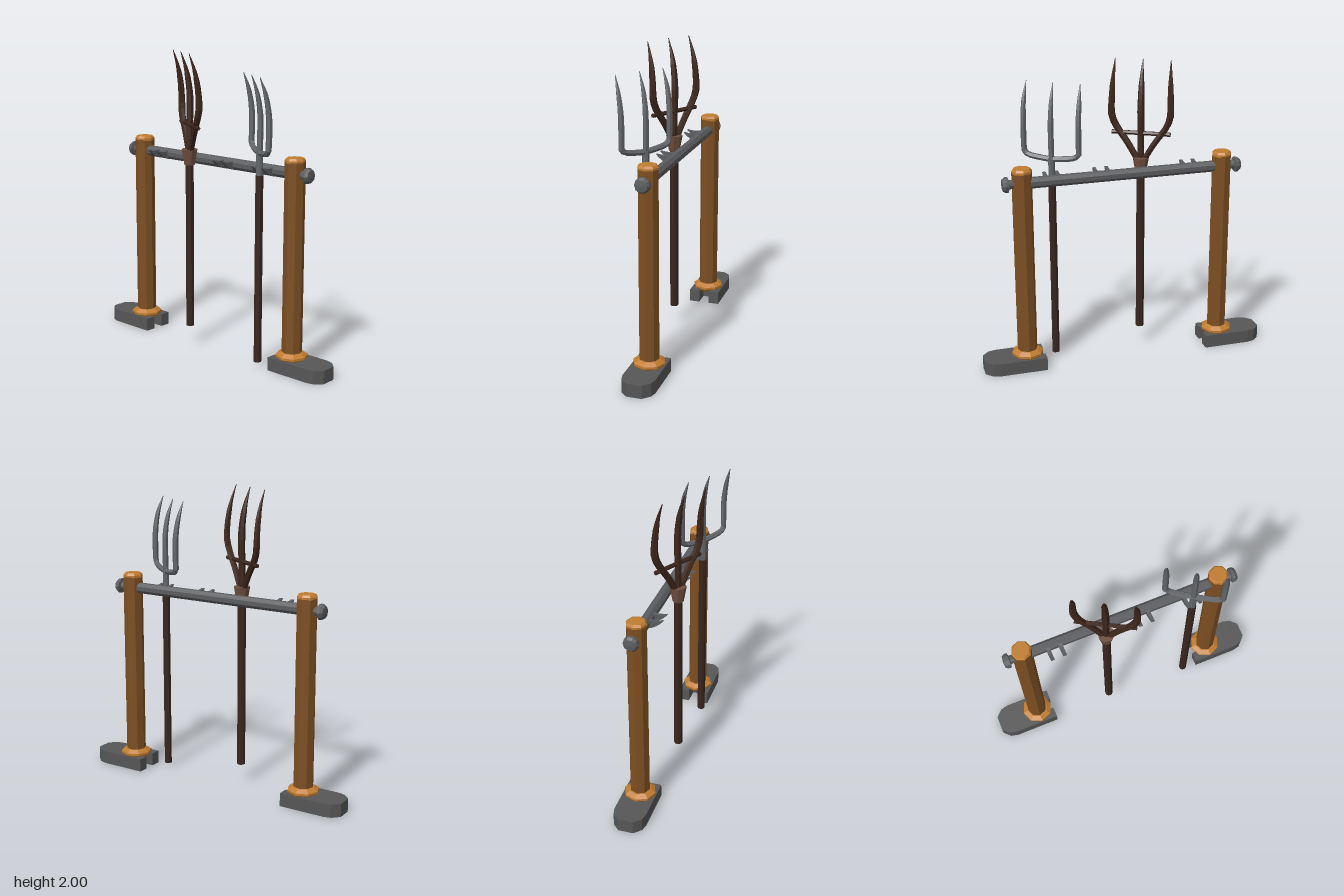
import * as THREE from 'three';

const mat = (name, color) => {
  const m = new THREE.MeshStandardMaterial({ color, flatShading: true });
  m.name = name;
  return m;
};
const V = (x, y, z) => new THREE.Vector3(x, y, z);

export function createModel() {
  const M = {
    wood: mat('post wood', 0x7d4f22),
    trim: mat('light wood trim', 0xc07c30),
    stone: mat('foot grey', 0x565656),
    rail: mat('rail grey', 0x5b5c5f),
    handle: mat('dark handle wood', 0x38261d),
    tine: mat('dark tine wood', 0x3d261b),
    socket: mat('socket brown', 0x6e4f3e),
    steel: mat('fork steel', 0x63666a),
  };
  const root = new THREE.Group();
  root.name = 'pitchforkRack';
  const add = (parent, name, geo, material, x = 0, y = 0, z = 0) => {
    const mesh = new THREE.Mesh(geo, material);
    mesh.name = name;
    mesh.position.set(x, y, z);
    parent.add(mesh);
    return mesh;
  };
  const lathe = (pts, sides) => new THREE.LatheGeometry(pts.map(p => new THREE.Vector2(...p)), sides);
  const rod = (r, y0, y1, sides = 8) =>
    new THREE.CylinderGeometry(r, r, y1 - y0, sides).translate(0, (y0 + y1) / 2, 0);

  // Tube along a curve whose rings shrink to the given radii
  const taperedTube = (points, radii, segs = 14, sides = 6) => {
    const curve = new THREE.CatmullRomCurve3(points);
    const geo = new THREE.TubeGeometry(curve, segs, 1, sides);
    const pos = geo.attributes.position, v = V(0, 0, 0);
    for (let i = 0; i < pos.count; i++) {
      const t = Math.floor(i / (sides + 1)) / segs;
      const c = curve.getPointAt(t);
      const f = t * (radii.length - 1), k = Math.min(Math.floor(f), radii.length - 2);
      const r = THREE.MathUtils.lerp(radii[k], radii[k + 1], f - k);
      v.fromBufferAttribute(pos, i).sub(c).multiplyScalar(r).add(c);
      pos.setXYZ(i, v.x, v.y, v.z);
    }
    geo.computeVertexNormals();
    return geo;
  };

  const zBar = -0.066, yBar = 1.285;

  // Foot: rounded outer end, slot in the inner end (drawn for the +x side)
  const footShape = new THREE.Shape([
    [-0.112, -0.107], [0.2, -0.107], [0.25, -0.095], [0.295, -0.05], [0.295, 0.05],
    [0.25, 0.095], [0.2, 0.107], [-0.112, 0.107], [-0.112, 0.036], [0.0, 0.036],
    [0.0, -0.036], [-0.112, -0.036],
  ].map(p => new THREE.Vector2(...p)));

  for (const side of [-1, 1]) {
    const g = new THREE.Group();
    g.name = side > 0 ? 'leftStand' : 'rightStand';
    g.position.set(side > 0 ? 0.668 : -0.675, 0, zBar);
    if (side < 0) g.rotation.y = Math.PI;
    root.add(g);
    const foot = new THREE.ExtrudeGeometry(footShape, { depth: 0.088, bevelEnabled: false });
    add(g, 'foot', foot.rotateX(-Math.PI / 2), M.stone);
    add(g, 'postCollar', lathe([[0, 0.075], [0.09, 0.075], [0.105, 0.095], [0.105, 0.11], [0.075, 0.13], [0, 0.13]], 8), M.trim);
    add(g, 'post', rod(0.066, 0.08, 1.36), M.wood);
    add(g, 'postCap', lathe([[0, 1.355], [0.066, 1.355], [0.066, 1.372], [0.055, 1.386], [0, 1.386]], 8), M.trim);
    const knob = lathe([[0.027, 0.05], [0.03, 0.085], [0.05, 0.09], [0.05, 0.11], [0.038, 0.126], [0, 0.13]], 10);
    add(g, 'railKnob', knob.rotateZ(-Math.PI / 2), M.rail, 0, yBar, 0);
  }

  // Cross rail
  add(root, 'rail', new THREE.CylinderGeometry(0.037, 0.037, 1.28, 8).rotateY(Math.PI / 8).rotateZ(Math.PI / 2),
    M.rail, 0, yBar, zBar);

  // Pairs of forward hooks, cut as thin curved claws (shape x is depth)
  const claw = new THREE.Shape();
  claw.moveTo(-0.05, 1.25);
  claw.quadraticCurveTo(0.005, 1.262, 0.05, 1.312);
  claw.quadraticCurveTo(0.0, 1.298, -0.05, 1.31);
  const clawGeo = new THREE.ExtrudeGeometry(claw, { depth: 0.024, bevelEnabled: false, curveSegments: 4 })
    .translate(0, 0, -0.012).rotateY(-Math.PI / 2);
  for (const c of [-0.47, 0.128, 0.46])
    for (const s of [-1, 1]) add(root, 'hook', clawGeo, M.rail, c + s * 0.041, 0, 0);

  const fork = (name, x, z, degrees) => {
    const g = new THREE.Group();
    g.name = name;
    g.position.set(x, 0, z);
    g.rotation.y = -THREE.MathUtils.degToRad(degrees);
    root.add(g);
    return g;
  };

  // Wooden fork with splayed tines and a brace
  const a = fork('woodenFork', -0.145, 0.03, 29);
  add(a, 'handle', rod(0.028, 0.14, 1.3), M.handle);
  add(a, 'socket', lathe([[0, 1.255], [0.036, 1.255], [0.055, 1.36], [0, 1.36]], 8), M.socket);
  for (const s of [-1, 0, 1]) {
    const pts = s
      ? [V(s * 0.015, 1.33, 0), V(s * 0.085, 1.45, 0), V(s * 0.17, 1.575, 0), V(s * 0.193, 1.64, -0.005),
        V(s * 0.193, 1.76, 0), V(s * 0.188, 1.89, 0.022), V(s * 0.182, 2.0, 0.057)]
      : [V(0, 1.33, 0), V(0, 1.5, 0), V(0, 1.64, -0.005), V(0, 1.76, 0), V(0, 1.89, 0.022), V(0, 2.0, 0.057)];
    add(a, s ? 'outerTine' : 'middleTine', taperedTube(pts, [0.021, 0.022, 0.024, 0.019, 0.002], 16), M.tine);
  }
  add(a, 'brace', new THREE.CylinderGeometry(0.014, 0.014, 0.39, 6).rotateZ(Math.PI / 2), M.tine, 0, 1.523, 0);

  // Steel fork with a curved yoke
  const b = fork('steelFork', 0.455, 0.022, 33);
  add(b, 'handle', rod(0.026, 0.03, 1.26), M.handle);
  add(b, 'ferrule', rod(0.023, 1.25, 1.41), M.steel);
  const yoke = [V(-0.185, 1.45, 0), V(-0.165, 1.425, 0), V(-0.08, 1.408, 0), V(0, 1.402, 0),
    V(0.08, 1.408, 0), V(0.165, 1.425, 0), V(0.185, 1.45, 0)];
  add(b, 'yoke', taperedTube(yoke, [0.019, 0.019]), M.steel);
  for (const s of [-1, 0, 1]) {
    const u = s * 0.185;
    const pts = [V(u, s ? 1.44 : 1.39, 0), V(u, 1.55, -0.003), V(u, 1.66, 0), V(u, 1.78, 0.02), V(s * 0.18, 1.89, 0.057)];
    add(b, s ? 'outerTine' : 'middleTine', taperedTube(pts, [0.019, 0.02, 0.019, 0.015, 0.002]), M.steel);
  }
  return root;
}
